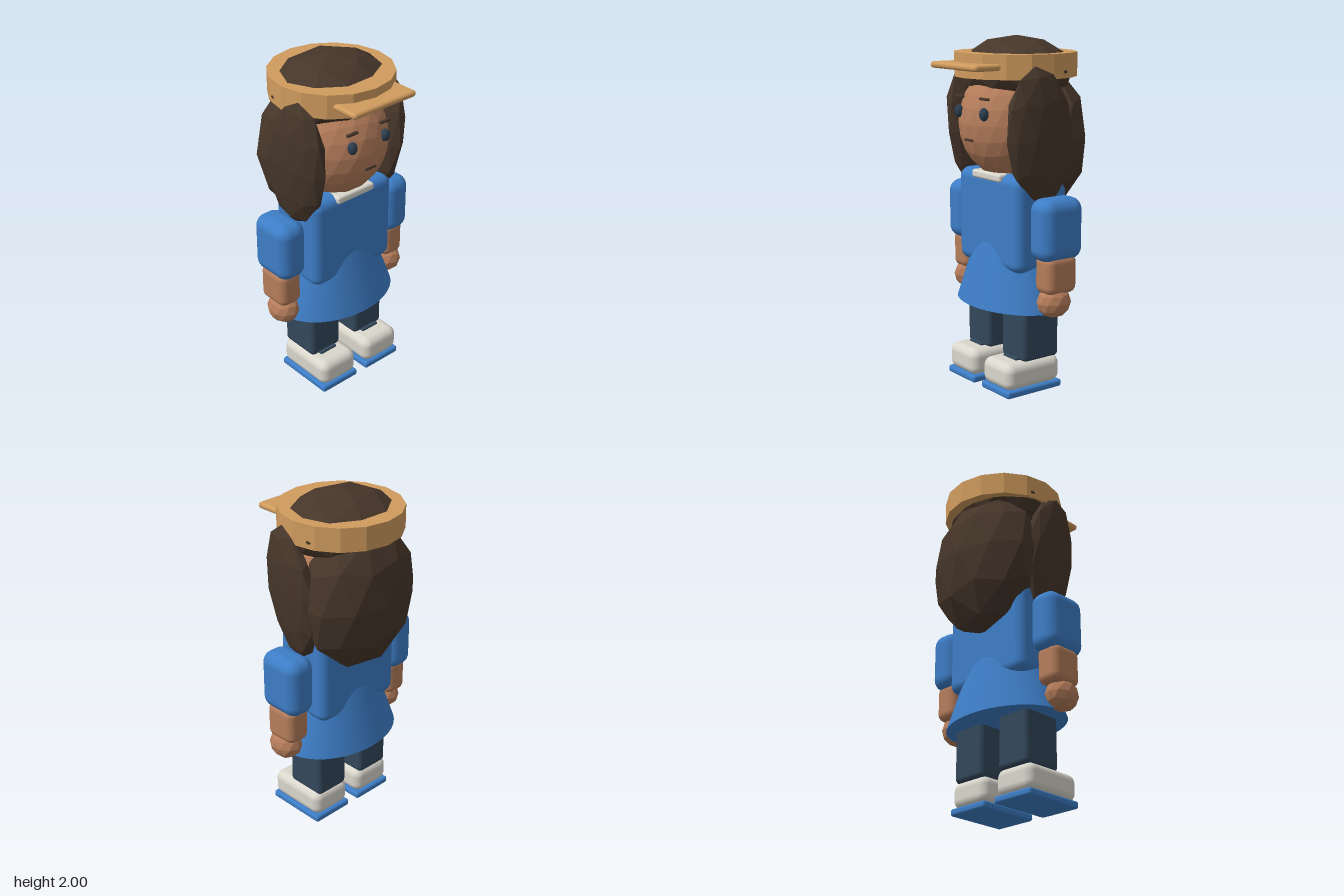
import * as THREE from 'three';
import { RoundedBoxGeometry } from 'three/addons/geometries/RoundedBoxGeometry.js';

export function createModel() {
  const model = new THREE.Group();
  model.name = 'capGirl';

  const mat = (name, color, flatShading = false) => {
    const m = new THREE.MeshStandardMaterial({ color, flatShading });
    m.name = name;
    return m;
  };
  const blue = mat('blueCloth', 0x3d7dc6);
  const skin = mat('skin', 0xb57d5b);
  const hair = mat('brownHair', 0x46362a, true);
  const tan = mat('tanCap', 0xd09b5e);
  const navy = mat('navyTrousers', 0x33475b);
  const white = mat('offWhite', 0xd9d6cc);
  const dark = mat('darkEyes', 0x2c3e50);

  const add = (name, geometry, material, x, y, z) => {
    const mesh = new THREE.Mesh(geometry, material);
    mesh.name = name;
    mesh.position.set(x, y, z);
    model.add(mesh);
    return mesh;
  };
  const box = (name, material, size, pos, radius) =>
    add(name, new RoundedBoxGeometry(...size, 4, radius), material, ...pos);

  // Faceted ellipsoid with a vertex at its top and its back
  const facetBall = (name, material, radii, pos, detail) => {
    const g = new THREE.IcosahedronGeometry(1, detail);
    g.rotateX(-Math.atan((1 + Math.sqrt(5)) / 2));
    g.rotateY(Math.PI / 2);
    g.scale(...radii);
    const flat = g.toNonIndexed ? (g.index ? g.toNonIndexed() : g) : g;
    flat.computeVertexNormals();
    return add(name, flat, material, ...pos);
  };

  // Legs, shoes, arms, eyes and side hair, mirrored
  for (const [side, s] of [['left', 1], ['right', -1]]) {
    box(side + 'Sole', blue, [0.265, 0.042, 0.385], [s * 0.168, 0.023, 0.055], 0.015);
    box(side + 'Shoe', white, [0.26, 0.155, 0.38], [s * 0.168, 0.115, 0.056], 0.05);
    box(side + 'Lace', navy, [0.12, 0.018, 0.06], [s * 0.168, 0.196, 0.11], 0.006);
    box(side + 'Leg', navy, [0.218, 0.42, 0.255], [s * 0.168, 0.39, -0.008], 0.03);

    box(side + 'Sleeve', blue, [0.182, 0.35, 0.28], [s * 0.394, 0.965, -0.01], 0.07);
    box(side + 'Forearm', skin, [0.148, 0.22, 0.205], [s * 0.397, 0.715, -0.008], 0.045);
    facetBall(side + 'Hand', skin, [0.086, 0.09, 0.102], [s * 0.402, 0.556, 0.01], 1);

    const eye = add(side + 'Eye', new THREE.SphereGeometry(1, 16, 12), dark, s * 0.118, 1.585, 0.275);
    eye.scale.set(0.027, 0.036, 0.026);
    box(side + 'Brow', hair, [0.076, 0.013, 0.02], [s * 0.118, 1.668, 0.272], 0.004);

    const lock = facetBall(side + 'SideHair', hair, [0.077, 0.39, 0.205], [s * 0.307, 1.463, 0.037], 1);
    lock.rotation.set(0.12, -s * 0.15, -s * 0.05);
  }

  // Flared skirt and upper body
  const skirt = add('skirt', new THREE.CylinderGeometry(0.23, 0.386, 0.42, 40), blue, 0, 0.69, -0.005);
  skirt.scale.z = 0.72;
  box('torso', blue, [0.58, 0.545, 0.36], [0, 0.973, -0.005], 0.055);
  box('collar', white, [0.27, 0.046, 0.16], [0, 1.224, 0.105], 0.015);

  // Head and mouth
  facetBall('head', skin, [0.3, 0.33, 0.3], [0, 1.52, 0], 3);
  box('mouth', hair, [0.076, 0.013, 0.012], [0, 1.435, 0.292], 0.004);

  // Crown and back hair
  facetBall('crownHair', hair, [0.35, 0.19, 0.3], [0, 1.81, -0.035], 1);
  facetBall('backHair', hair, [0.376, 0.44, 0.236], [0, 1.43, -0.169], 1);

  // Cap band with the crown showing through, and its peak
  const band = new THREE.CylinderGeometry(0.348, 0.348, 0.135, 16).toNonIndexed();
  band.computeVertexNormals();
  add('capBand', band, tan, 0, 1.843, -0.027);
  box('capPeak', tan, [0.44, 0.036, 0.24], [0, 1.842, 0.281], 0.017);

  return model;
}
